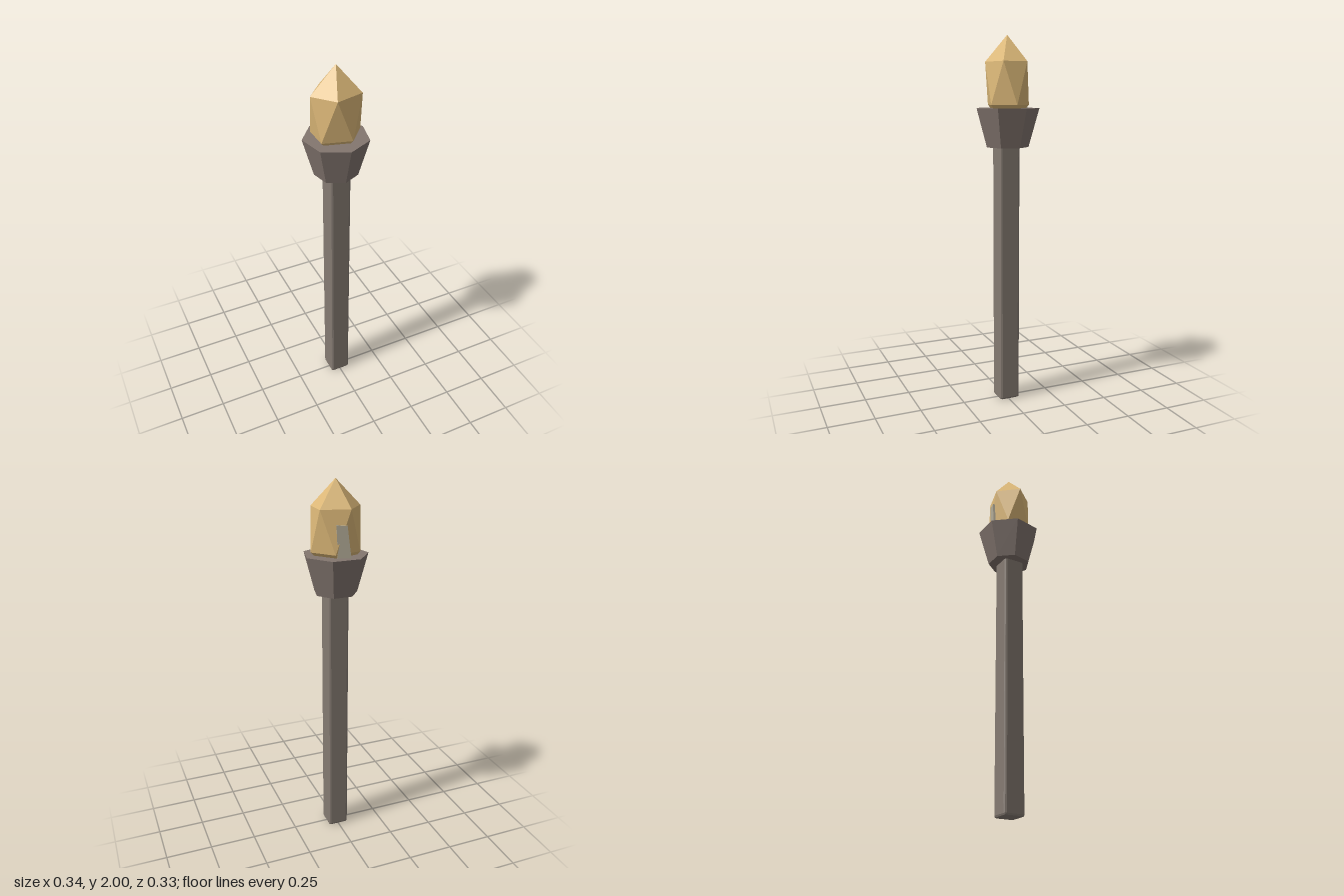
import * as THREE from 'three';
import { RoundedBoxGeometry } from 'three/addons/geometries/RoundedBoxGeometry.js';
import { ConvexGeometry } from 'three/addons/geometries/ConvexGeometry.js';

function material(name, color) {
  const m = new THREE.MeshStandardMaterial({ color, flatShading: true });
  m.name = name;
  return m;
}

export function createModel() {
  const group = new THREE.Group();
  group.name = 'torch';
  const handleWood = material('handleWood', 0x857b72);
  const cupBrown = material('cupBrown', 0x83766f);
  const flameGold = material('flameGold', 0xdcb878);
  const shardGrey = material('shardGrey', 0xb4ac98);

  function add(name, geometry, mat, x, y, z) {
    const mesh = new THREE.Mesh(geometry, mat);
    mesh.name = name;
    mesh.position.set(x, y, z);
    group.add(mesh);
    return mesh;
  }

  // Square post with chamfered edges
  add('handle', new RoundedBoxGeometry(0.114, 1.44, 0.114, 1, 0.012), handleWood, 0, 0.725, -0.005);

  // Seven-sided flaring cup, one corner to the front
  add('cup', new THREE.CylinderGeometry(0.172, 0.115, 0.205, 7), cupBrown, 0, 1.522, -0.009);

  // Faceted flame: two opposed five-point rings between two tips
  const tip = 0.2475;
  const points = [new THREE.Vector3(0, tip, 0), new THREE.Vector3(0, -tip, 0)];
  for (let i = 0; i < 5; i++) {
    const a = (i * Math.PI * 2) / 5;
    const x = 0.134 * Math.cos(a);
    const z = 0.113 * Math.sin(a);
    points.push(new THREE.Vector3(-x, tip * 0.447, z), new THREE.Vector3(x, -tip * 0.447, z));
  }
  add('flame', new ConvexGeometry(points), flameGold, 0, 1.7525, -0.01);

  // Thin shard leaning on the back of the flame
  const outline = new THREE.Shape([
    new THREE.Vector2(-0.038, -0.08),
    new THREE.Vector2(0.03, -0.08),
    new THREE.Vector2(0.037, 0.085),
    new THREE.Vector2(-0.018, 0.08),
  ]);
  const shard = add('shard', new THREE.ExtrudeGeometry(outline, { depth: 0.012, bevelEnabled: false }),
    shardGrey, 0, 1.705, -0.122);
  shard.rotation.y = -0.22;

  return group;
}
